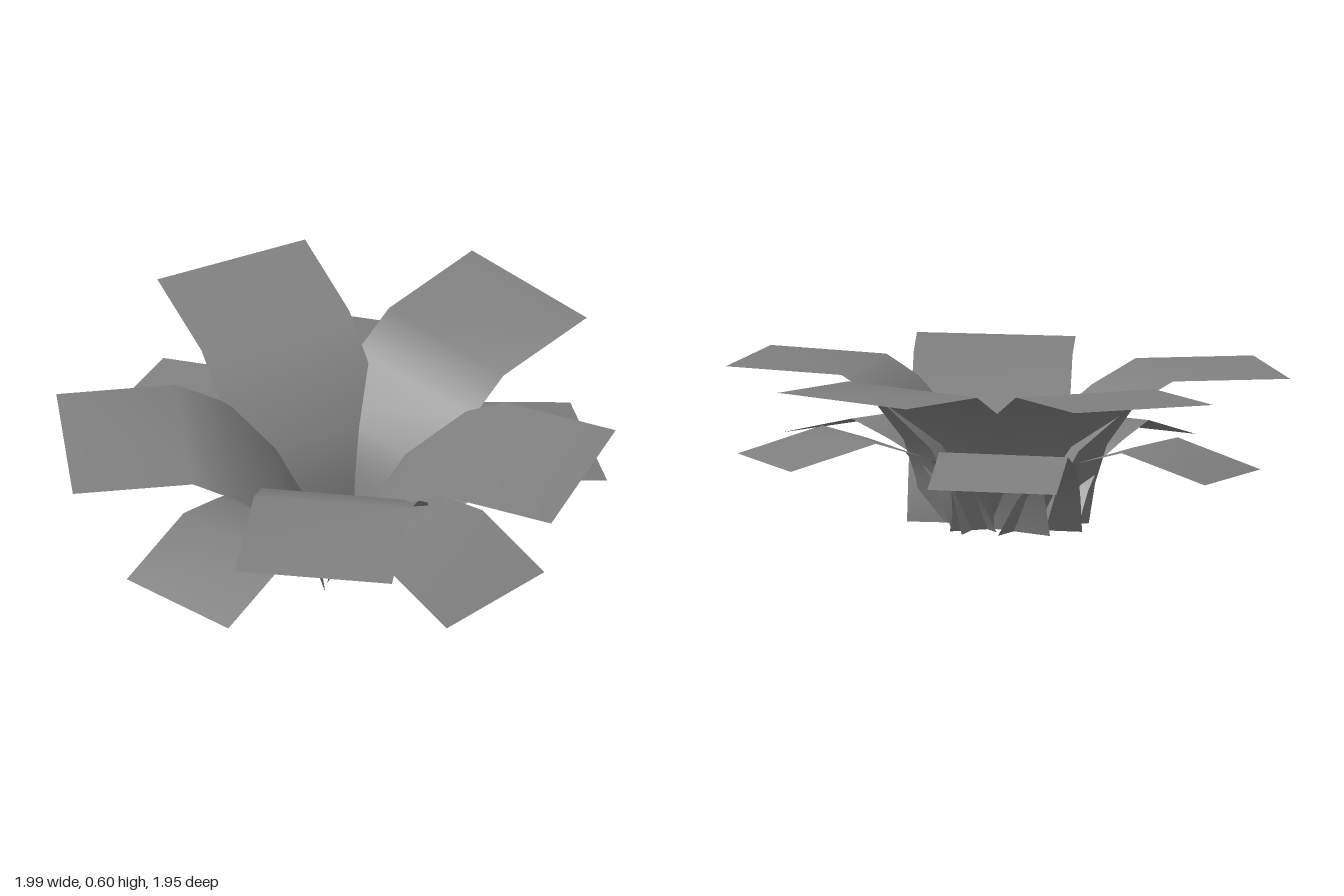
import * as THREE from 'three';

const material = new THREE.MeshStandardMaterial({ color: 0x808080, side: THREE.DoubleSide });

// A strip of constant width that follows a profile of [radius, height] points
function petalGeometry(width, profile) {
  const geo = new THREE.PlaneGeometry(width, 1, 1, profile.length - 1);
  const pos = geo.attributes.position;
  for (let i = 0; i < pos.count; i++) {
    const [r, y] = profile[Math.floor(i / 2)];
    pos.setXYZ(i, pos.getX(i), y, r);
  }
  geo.computeVertexNormals();
  return geo;
}

// A ring of petals; each entry is [angle from the front in degrees, x offset, z offset]
function petalRing(name, geometry, places) {
  const ring = new THREE.Group();
  ring.name = name + 's';
  for (const [angle, x, z] of places) {
    const petal = new THREE.Mesh(geometry, material);
    petal.name = name;
    petal.rotation.y = THREE.MathUtils.degToRad(angle);
    petal.position.set(x, 0, z);
    ring.add(petal);
  }
  return ring;
}

export function createModel() {
  const group = new THREE.Group();
  group.name = 'flower';

  // The whole flower leans slightly forward
  const flower = new THREE.Group();
  flower.name = 'leaningFlower';
  flower.rotation.x = 0.037;
  flower.position.y = 0.01;
  group.add(flower);

  // Upper petals rise, curve outward and end flat
  const upper = petalGeometry(0.566, [
    [0.06, 0], [0.1, 0.15], [0.18, 0.3], [0.36, 0.454], [0.52, 0.547], [0.95, 0.551],
  ]);
  flower.add(petalRing('upperPetal', upper, [
    [181, 0.007, -0.045], [110.7, 0.005, -0.02], [35.7, 0.032, -0.07],
    [-39.3, 0.01, 0.037], [-113.8, -0.017, 0.014],
  ]));

  // Lower petals are smaller and droop at the tip
  const lower = petalGeometry(0.463, [
    [0.08, 0], [0.15, 0.13], [0.24, 0.235], [0.38, 0.285], [0.56, 0.338], [0.89, 0.25],
  ]);
  flower.add(petalRing('lowerPetal', lower, [
    [6.2, -0.025, -0.004], [86, 0, 0.033], [151.3, 0.076, 0.015],
    [-149.7, -0.056, 0.016], [-78.3, -0.019, -0.021],
  ]));

  return group;
}
